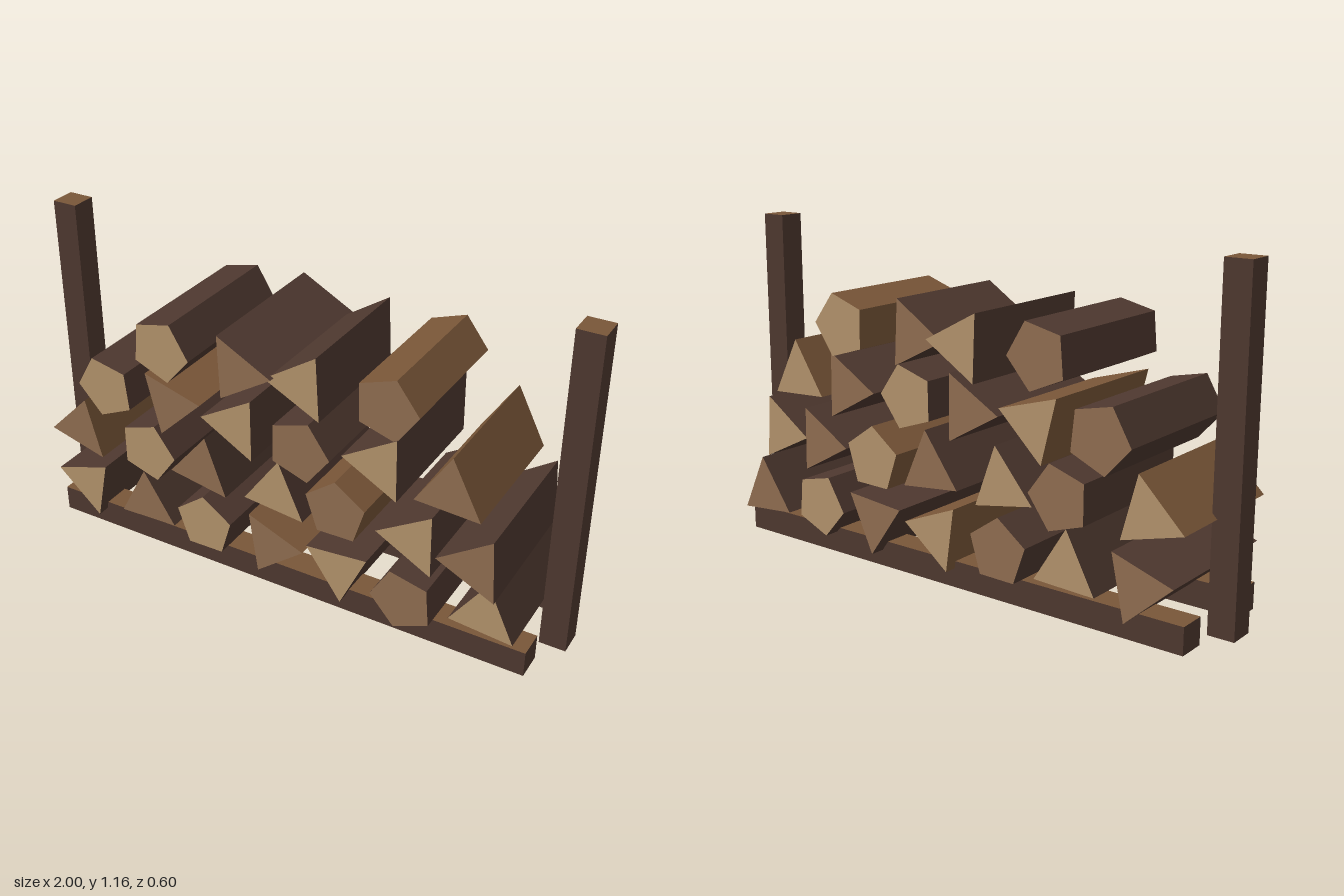
import * as THREE from 'three';

const mat = (name, color) => {
  const m = new THREE.MeshStandardMaterial({ color, flatShading: true });
  m.name = name;
  return m;
};

export function createModel() {
  const group = new THREE.Group();
  const darkBark = mat('darkBark', 0x4e382f);
  const lightBark = mat('lightBark', 0x795638);
  const paleWood = mat('paleWood', 0xb2926b);
  const brownWood = mat('brownWood', 0x8f6d50);

  // Square timbers with a lighter top face
  const timber = (name, w, h, d, x, z) => {
    const faces = [darkBark, darkBark, lightBark, darkBark, darkBark, darkBark];
    const mesh = new THREE.Mesh(new THREE.BoxGeometry(w, h, d), faces);
    mesh.name = name;
    mesh.position.set(x, h / 2, z);
    group.add(mesh);
  };
  for (const s of [-1, 1]) {
    timber(s > 0 ? 'leftPost' : 'rightPost', 0.093, 1.165, 0.093, s * 0.9535, 0);
    timber(s > 0 ? 'frontRail' : 'backRail', 1.85, 0.093, 0.1, 0, s * 0.175);
  }

  // Split logs: [sides, x, corner angle in degrees, back z, front z], one list per row
  const rows = [
    { y: 0.188, logs: [
      [3, -0.777, 48, -0.26, 0.27], [3, -0.519, 92, -0.26, 0.26], [5, -0.265, 91, -0.27, 0.27],
      [3, -0.004, 8, -0.27, 0.26], [3, 0.26, -85, -0.28, 0.26], [5, 0.518, 185, -0.28, 0.3],
      [3, 0.775, 85, -0.3, 0.235]] },
    { y: 0.411, logs: [
      [3, -0.798, 75, -0.24, 0.26], [5, -0.5, 0, -0.27, 0.26], [3, -0.278, 80, -0.27, 0.26],
      [3, 0.02, 84, -0.27, 0.26], [5, 0.243, 91, -0.3, 0.25], [3, 0.533, 181, -0.26, 0.27],
      [3, 0.756, 64, -0.23, 0.295]] },
    { y: 0.631, logs: [
      [5, -0.648, 186, -0.28, 0.28], [3, -0.397, 14, -0.27, 0.26], [3, -0.128, 180, -0.26, 0.27],
      [5, 0.128, -1, -0.25, 0.29], [3, 0.389, 181, -0.27, 0.24], [3, 0.645, 87, -0.245, 0.265]] },
    { y: 0.842, logs: [
      [5, -0.406, -5, -0.26, 0.28], [3, -0.114, 2, -0.28, 0.27],
      [3, 0.11, 183, -0.245, 0.25], [5, 0.408, 1, -0.27, 0.235]] },
  ];
  let i = 0;
  for (const { y, logs } of rows) {
    for (const [sides, x, angle, z0, z1] of logs) {
      const radius = sides === 3 ? 0.131 : 0.115;
      const geo = new THREE.CylinderGeometry(radius, radius, z1 - z0, sides);
      // Lay the axis along z, then turn the first corner to its angle
      geo.rotateX(Math.PI / 2);
      geo.rotateZ(THREE.MathUtils.degToRad(angle + 90));
      // Bark and the two cut ends, whose tones alternate from log to log
      const bark = i % 4 === 3 ? lightBark : darkBark;
      const ends = i % 2 ? [brownWood, paleWood] : [paleWood, brownWood];
      const log = new THREE.Mesh(geo, [bark, ...ends]);
      log.name = 'log' + (i + 1);
      log.position.set(x, y, (z0 + z1) / 2);
      group.add(log);
      i++;
    }
  }
  return group;
}
